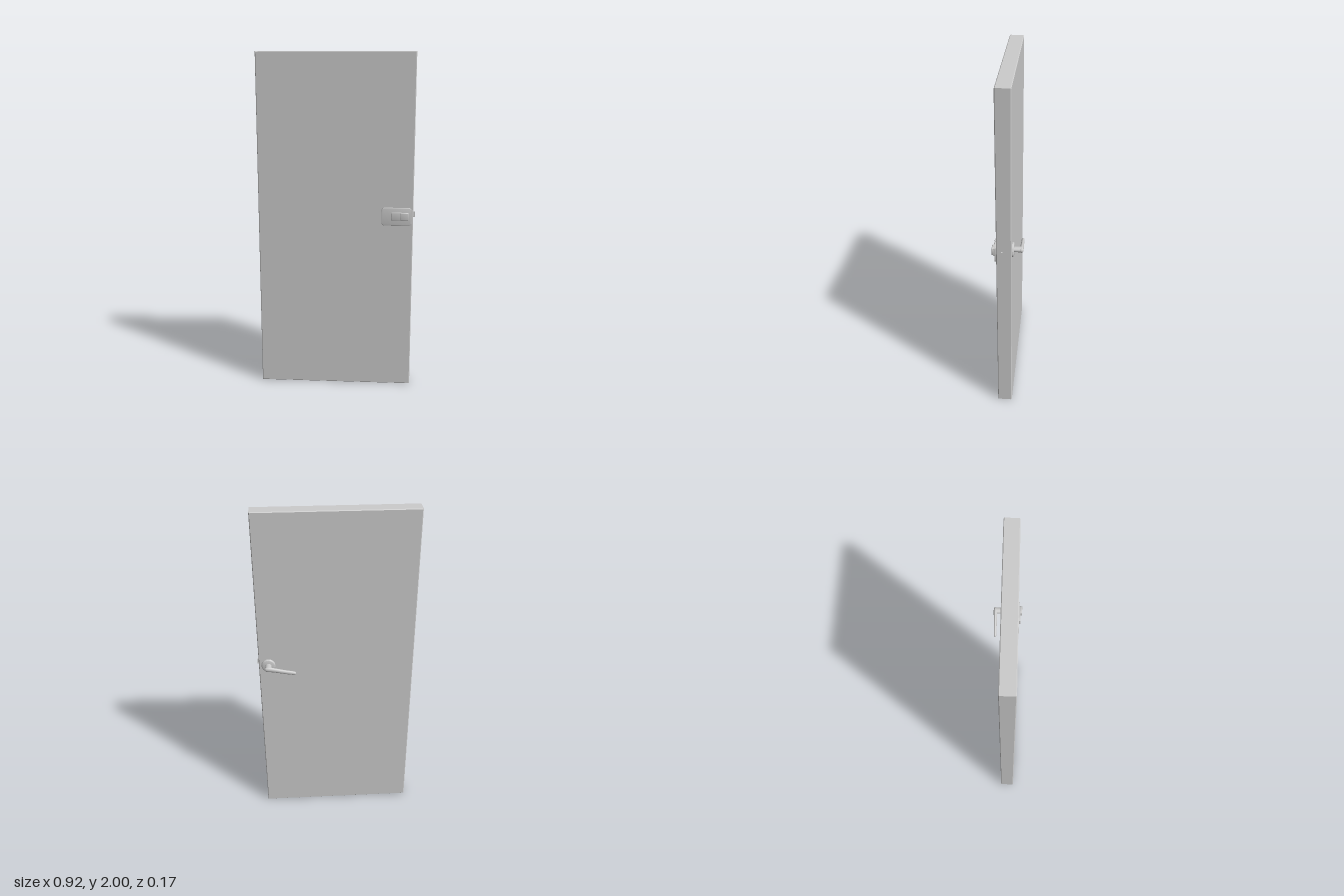
import * as THREE from 'three';
import { toCreasedNormals } from 'three/addons/utils/BufferGeometryUtils.js';

const grey = new THREE.MeshStandardMaterial({ color: 0xcccccc });

function part(name, geometry, x, y, z) {
  const mesh = new THREE.Mesh(geometry, grey);
  mesh.name = name;
  mesh.position.set(x, y, z);
  return mesh;
}

// Rounded-corner plate with bevelled rims, its back at z = 0
function plate(w, h, depth, r, bevel) {
  const a = w / 2 - bevel, b = h / 2 - bevel;
  const s = new THREE.Shape();
  s.moveTo(-a + r, -b);
  s.lineTo(a - r, -b).absarc(a - r, -b + r, r, -Math.PI / 2, 0);
  s.lineTo(a, b - r).absarc(a - r, b - r, r, 0, Math.PI / 2);
  s.lineTo(-a + r, b).absarc(-a + r, b - r, r, Math.PI / 2, Math.PI);
  s.lineTo(-a, -b + r).absarc(-a + r, -b + r, r, Math.PI, Math.PI * 1.5);
  const g = new THREE.ExtrudeGeometry(s, {
    depth: depth - 2 * bevel, bevelSize: bevel, bevelThickness: bevel,
    bevelSegments: 3, curveSegments: 8,
  });
  g.translate(0, 0, bevel);
  return toCreasedNormals(g, 0.6);
}

// Box with a single narrow chamfer on every edge
function chamferedBox(w, h, d, c) {
  const s = new THREE.Shape();
  const a = w / 2 - c, b = h / 2 - c;
  s.moveTo(-a, -b).lineTo(a, -b).lineTo(a, b).lineTo(-a, b);
  const g = new THREE.ExtrudeGeometry(s, {
    depth: d - 2 * c, bevelSize: c, bevelThickness: c, bevelSegments: 1,
  });
  return g.translate(0, 0, c - d / 2);
}

// Loft of elliptical rings running towards -x: [x, y, z, halfHeight, halfDepth]
function loft(rings, n = 20) {
  const pos = [], index = [];
  rings.forEach(([x, y, z, h, d], k) => {
    for (let i = 0; i < n; i++) {
      const t = (i / n) * Math.PI * 2;
      pos.push(x, y + h * Math.cos(t), z + d * Math.sin(t));
      if (k === rings.length - 1) continue;
      const a = k * n + i, b = k * n + ((i + 1) % n);
      index.push(a, a + n, b, b, a + n, b + n);
    }
  });
  const g = new THREE.BufferGeometry();
  g.setAttribute('position', new THREE.Float32BufferAttribute(pos, 3));
  g.setIndex(index);
  g.computeVertexNormals();
  return g;
}

export function createModel() {
  const door = new THREE.Group();
  door.name = 'door';

  // Door leaf
  door.add(part('doorLeaf', chamferedBox(0.914, 2, 0.084, 0.004), -0.005, 1, 0.016));

  // Latch bolt and its face plate on the closing edge
  door.add(part('latchBolt', new THREE.BoxGeometry(0.02, 0.032, 0.008), 0.452, 1.066, 0.027));

  // Front lock: back plate, inset slide and raised button
  const lock = new THREE.Group();
  lock.name = 'lock';
  lock.add(part('lockPlate', plate(0.176, 0.107, 0.011, 0.015, 0.003), 0.354, 1.056, 0.0575));
  lock.add(part('lockSlide', plate(0.1, 0.048, 0.011, 0.002, 0.002), 0.373, 1.058, 0.066));
  lock.add(part('lockButton', plate(0.048, 0.046, 0.013, 0.004, 0.004), 0.4, 1.059, 0.073));
  door.add(lock);

  // Back lever handle: rosette, neck and drooping tapered grip
  const handle = new THREE.Group();
  handle.name = 'leverHandle';
  const profile = [[0, 0], [0.041, 0], [0.041, 0.006], [0.038, 0.01], [0.034, 0.0115], [0, 0.0115]]
    .map(([r, y]) => new THREE.Vector2(r, y));
  const rosette = toCreasedNormals(new THREE.LatheGeometry(profile, 40).rotateX(-Math.PI / 2), 0.6);
  handle.add(part('rosette', rosette, 0.396, 1.065, -0.025));
  const neck = new THREE.CylinderGeometry(0.019, 0.018, 0.044, 28).rotateX(-Math.PI / 2);
  neck.scale(1, 0.78, 1);
  handle.add(part('neck', neck, 0.396, 1.067, -0.056));
  handle.add(part('grip', loft([
    [0.416, 1.067, -0.077, 0.0001, 0.0001],
    [0.4155, 1.067, -0.077, 0.008, 0.006],
    [0.411, 1.067, -0.077, 0.0125, 0.009],
    [0.398, 1.067, -0.0775, 0.015, 0.0105],
    [0.38, 1.065, -0.077, 0.015, 0.0105],
    [0.35, 1.058, -0.0765, 0.0135, 0.0095],
    [0.30, 1.046, -0.0758, 0.0125, 0.009],
    [0.255, 1.037, -0.0752, 0.012, 0.0082],
    [0.242, 1.0345, -0.075, 0.011, 0.0075],
    [0.237, 1.0335, -0.075, 0.008, 0.0055],
    [0.235, 1.033, -0.075, 0.0001, 0.0001],
  ]), 0, 0, 0));
  door.add(handle);

  return door;
}
